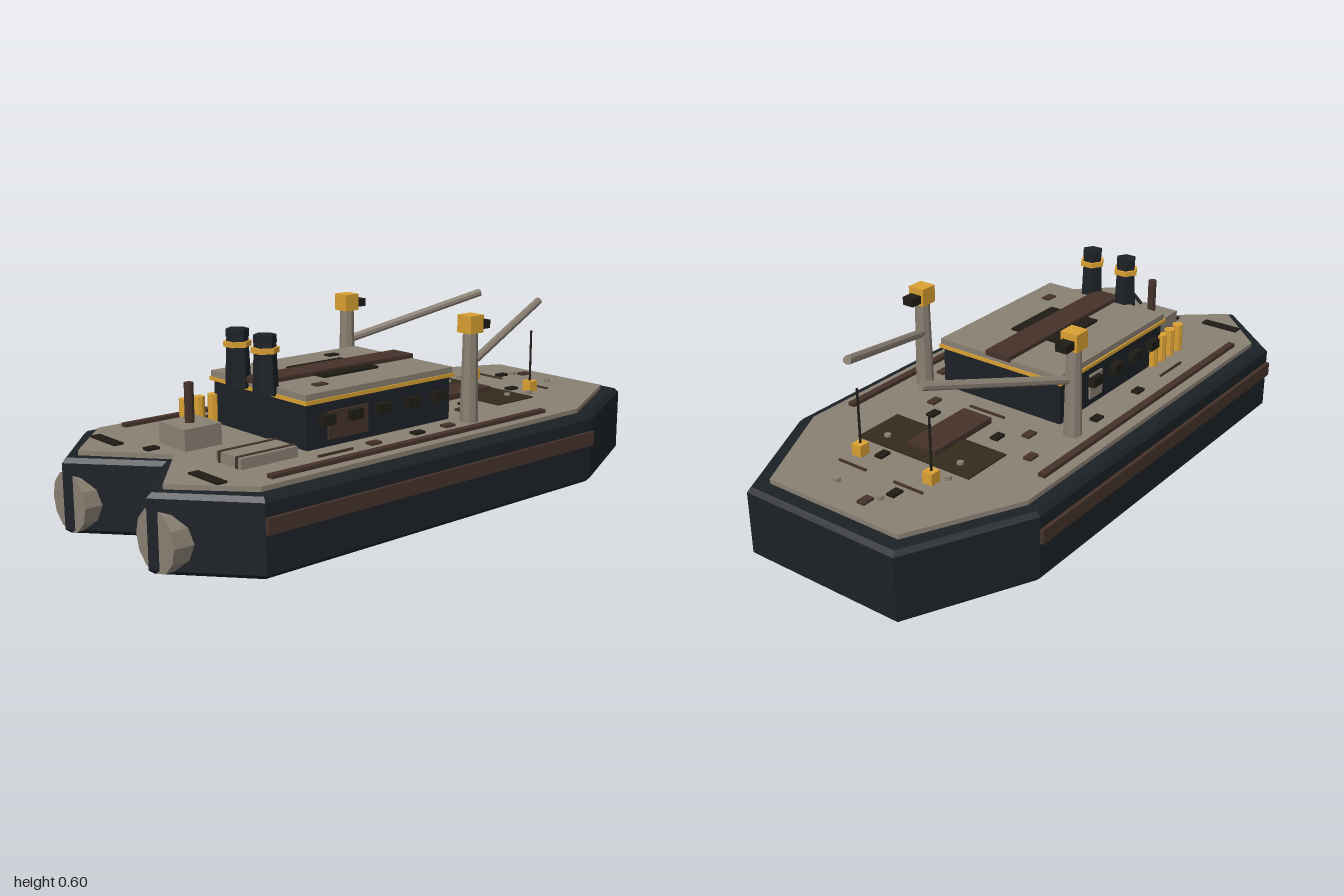
import * as THREE from 'three';

const mat = (color) => new THREE.MeshStandardMaterial({ color, flatShading: true });

export function createModel() {
  const root = new THREE.Group();
  const hullMat = mat(0x1c2126), deckMat = mat(0x8a8073), brown = mat(0x45322a);
  const yellow = mat(0xd9a032), dark = mat(0x1f1c15), olive = mat(0x332c1c);

  const add = (name, geo, m, x, y, z) => {
    const mesh = new THREE.Mesh(geo, m);
    mesh.name = name;
    mesh.position.set(x, y, z);
    root.add(mesh);
    return mesh;
  };
  // Box given by its min/max extents
  const box = (name, m, x0, x1, y0, y1, z0, z1) =>
    add(name, new THREE.BoxGeometry(x1 - x0, y1 - y0, z1 - z0), m, (x0 + x1) / 2, (y0 + y1) / 2, (z0 + z1) / 2);
  // Upright cylinder from y0 to y1
  const post = (name, m, x, z, y0, y1, r0, r1 = r0, sides = 8) =>
    add(name, new THREE.CylinderGeometry(r1, r0, y1 - y0, sides), m, x, (y0 + y1) / 2, z);
  // Cylinder between two points
  const rod = (name, m, a, b, r, sides = 8) => {
    const mesh = add(name, new THREE.CylinderGeometry(r, r, a.distanceTo(b), sides), m, 0, 0, 0);
    mesh.position.copy(a).add(b).multiplyScalar(0.5);
    mesh.quaternion.setFromUnitVectors(new THREE.Vector3(0, 1, 0), b.clone().sub(a).normalize());
    return mesh;
  };
  // Horizontal slab, mirrored half outline, bevelled edges
  const slab = (name, m, half, y0, y1, bevel) => {
    const pts = [...half, ...half.slice(0, -1).reverse().map(([x, z]) => [x, -z])];
    const shape = new THREE.Shape(pts.map(([x, z]) => new THREE.Vector2(x, z)));
    const geo = new THREE.ExtrudeGeometry(shape, {
      depth: y1 - y0 - 2 * bevel, bevelEnabled: bevel > 0, bevelSize: bevel,
      bevelThickness: bevel, bevelOffset: -bevel, bevelSegments: 1,
    });
    geo.rotateX(-Math.PI / 2);
    add(name, geo, m, 0, y0 + bevel, 0);
  };

  // Hull with notched stern, and the deck plate
  slab('hull', hullMat, [[1, 0.285], [0.6, 0.48], [-0.785, 0.48], [-1, 0.23], [-0.8, 0]], 0, 0.235, 0.014);
  slab('deck', deckMat, [[0.94, 0.25], [0.585, 0.428], [-0.76, 0.428], [-0.945, 0.23], [-0.755, 0]], 0.225, 0.25, 0);

  // Cabin and roof
  box('cabin', hullMat, -0.44, 0.16, 0.25, 0.395, -0.235, 0.235);
  box('cabinTrim', yellow, -0.452, 0.172, 0.392, 0.404, -0.246, 0.246);
  box('cabinRoof', deckMat, -0.448, 0.168, 0.404, 0.424, -0.241, 0.241);
  box('roofVent', dark, -0.255, -0.025, 0.424, 0.431, -0.096, 0.096);
  box('roofWalkway', brown, -0.46, 0.176, 0.42, 0.438, -0.048, 0.048);
  box('roofHatch', dark, -0.025, 0.02, 0.424, 0.429, -0.18, -0.15);
  box('roofHatch', brown, -0.35, -0.305, 0.424, 0.429, 0.145, 0.175);
  box('cabinDoor', brown, -0.36, -0.2, 0.272, 0.36, 0.23, 0.242);
  box('cabinPanel', deckMat, -0.07, 0.0, 0.275, 0.36, -0.242, -0.23);

  // Paired parts, port and starboard
  for (const s of [-1, 1]) {
    const sideBox = (name, m, x0, x1, y0, y1, z, w) => box(name, m, x0, x1, y0, y1, s * z - w / 2, s * z + w / 2);
    for (const x of [-0.37, -0.26, -0.145, -0.02, 0.1]) sideBox('window', dark, x - 0.025, x + 0.025, 0.322, 0.354, 0.245, 0.03);
    sideBox('rubbingStrake', brown, -0.785, 0.6, 0.132, 0.18, 0.48, 0.024);
    sideBox('deckRail', brown, -0.695, 0.46, 0.25, 0.262, 0.382, 0.024);
    sideBox('sternPad', dark, -0.84, -0.806, 0.25, 0.256, 0.268, 0.14);
    sideBox('handrail', brown, -0.46, -0.325, 0.25, 0.257, 0.31, 0.006);
    sideBox('foredeckBar', brown, 0.735, 0.742, 0.25, 0.256, 0.11, 0.11);

    // Stern thruster
    const thruster = post('thruster', deckMat, -0.915, s * 0.235, 0, 0.13, 0.095, 0.095, 12);
    thruster.position.y = 0.095;
    thruster.rotation.z = Math.PI / 2;
    // Funnel with ring
    post('funnel', hullMat, -0.465, s * 0.07, 0.4, 0.56, 0.041, 0.034, 6);
    post('funnelCap', hullMat, -0.465, s * 0.07, 0.56, 0.585, 0.036, 0.036, 6);
    post('funnelRing', yellow, -0.465, s * 0.07, 0.53, 0.547, 0.044, 0.044, 6);
    // Crane
    post('cranePost', deckMat, 0.185, s * 0.302, 0.25, 0.55, 0.03, 0.024);
    sideBox('craneHead', yellow, 0.155, 0.214, 0.544, 0.602, 0.302, 0.06);
    sideBox('craneLamp', dark, 0.21, 0.255, 0.553, 0.58, 0.302, 0.042);
    rod('craneBoom', deckMat, new THREE.Vector3(0.185, 0.437, s * 0.3), new THREE.Vector3(0.7, 0.573, s * 0.142), 0.014);
    // Antenna
    sideBox('antennaBase', yellow, 0.652, 0.69, 0.25, 0.288, 0.14, 0.036);
    post('antenna', dark, 0.67, s * 0.14, 0.285, 0.47, 0.004, 0.004, 6);
    // Bow bollards
    for (const [x, z] of [[0.545, 0.145], [0.83, 0.085], [0.63, 0.17]]) post('bollard', deckMat, x, s * z, 0.25, 0.262, 0.011);
  }

  // Foredeck hatch
  box('foredeckPlate', olive, 0.417, 0.598, 0.25, 0.254, -0.22, 0.22);
  box('foredeckHatch', brown, 0.28, 0.556, 0.25, 0.27, -0.056, 0.056);
  box('foredeckSill', brown, 0.228, 0.236, 0.25, 0.256, -0.07, 0.07);

  // Aft deck gear
  box('aftLocker', deckMat, -0.716, -0.582, 0.25, 0.318, -0.14, 0);
  post('exhaustPipe', brown, -0.65, -0.07, 0.318, 0.442, 0.015);
  box('aftHatch', deckMat, -0.705, -0.5, 0.25, 0.283, 0.14, 0.265);
  for (const z of [0.16, 0.245]) box('hatchStrip', brown, -0.708, -0.497, 0.25, 0.286, z - 0.005, z + 0.005);
  for (let i = 0; i < 4; i++) post('gasBottle', yellow, -0.555 + i * 0.055, -0.237, 0.25, 0.347, 0.019);

  // Small deck fittings: x, z
  const fittings = (m, list) => list.forEach(([x, z]) =>
    box('deckFitting', m, x - 0.021, x + 0.021, 0.25, 0.258, z - 0.014, z + 0.014));
  fittings(dark, [[-0.185, -0.308], [0.06, -0.308], [-0.05, 0.305], [0.345, -0.13], [0.345, 0.13],
    [-0.775, -0.093], [0.785, -0.1], [0.64, 0.08]]);
  fittings(brown, [[-0.235, 0.305], [0.085, 0.305], [0.385, -0.288], [0.275, -0.2], [0.275, 0.185], [0.865, -0.06]]);

  return root;
}
